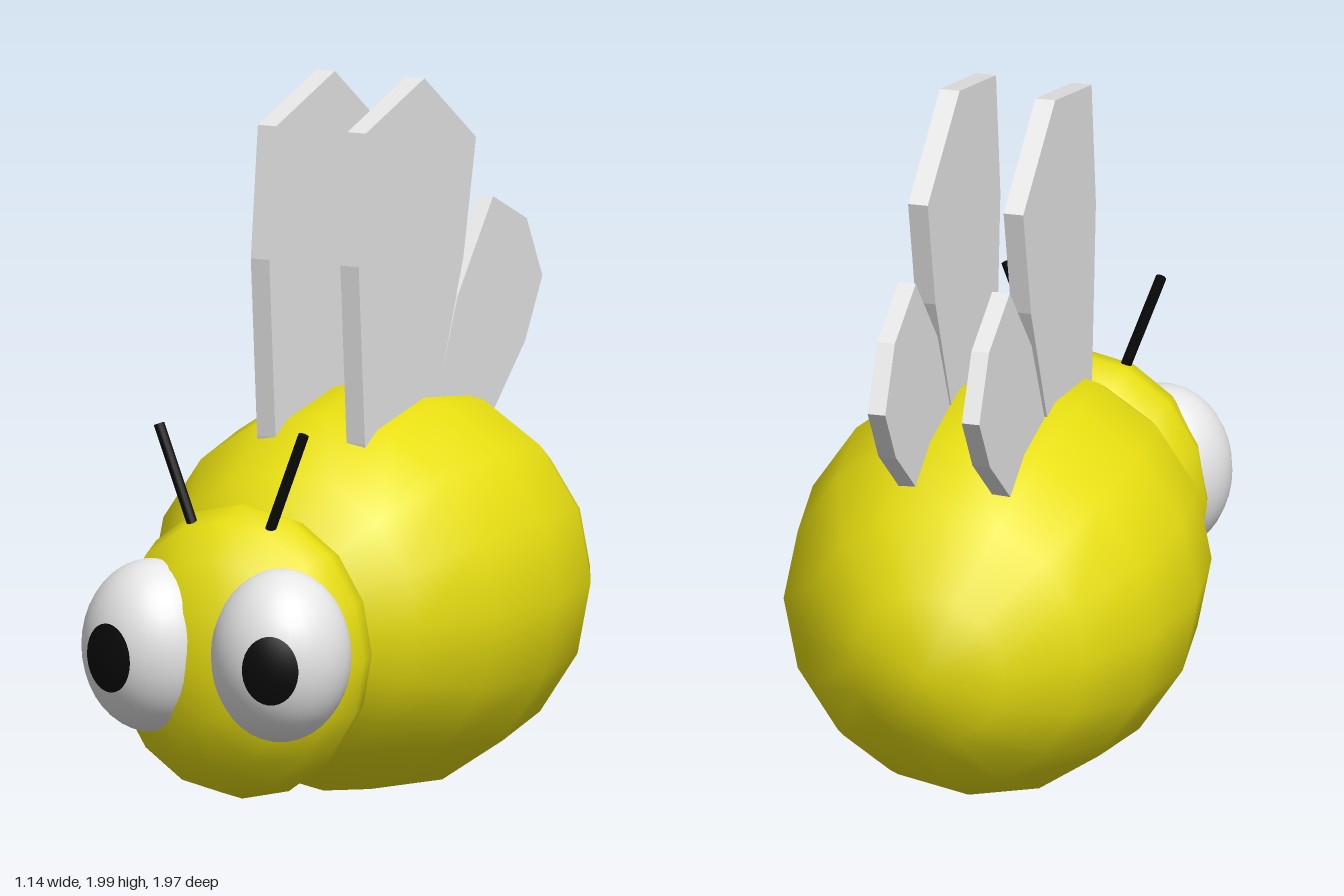
import * as THREE from 'three';

const yellow = new THREE.MeshStandardMaterial({ color: 0xe7de10 });
yellow.name = 'yellow';
const white = new THREE.MeshStandardMaterial({ color: 0xe6e6e6 });
white.name = 'paleGrey';
const black = new THREE.MeshStandardMaterial({ color: 0x0a0a0a });
black.name = 'black';

function add(parent, name, geometry, material) {
  const mesh = new THREE.Mesh(geometry, material);
  mesh.name = name;
  parent.add(mesh);
  return mesh;
}

// Coarse ellipsoid with its poles along z and smooth normals
function ellipsoid(rx, ry, rz, y, z) {
  return new THREE.SphereGeometry(1, 16, 8)
    .rotateX(Math.PI / 2).scale(rx, ry, rz).translate(0, y, z);
}

// Flat wing from [z, y] outline points, centred on x
function wing(points, x, thickness = 0.056) {
  const shape = new THREE.Shape(points.map(([z, y]) => new THREE.Vector2(-z, y)));
  return new THREE.ExtrudeGeometry(shape, { depth: thickness, bevelEnabled: false })
    .translate(0, 0, -thickness / 2).rotateY(Math.PI / 2).translate(x, 0, 0);
}

const frontWing = [[0.16, 0.92], [0.18, 1.04], [0.22, 1.54], [0.175, 1.905], [-0.2, 2],
  [-0.53, 1.785], [-0.45, 1.465], [-0.29, 1.11], [-0.2, 0.92]];
const rearWing = [[-0.3, 1.115], [-0.425, 1.36], [-0.65, 1.6], [-0.865, 1.505],
  [-0.965, 1.33], [-0.855, 1.165], [-0.66, 1.01], [-0.5, 0.88], [-0.3, 0.92]];

export function createModel() {
  const model = new THREE.Group();
  model.name = 'bee';

  add(model, 'body', ellipsoid(0.57, 0.568, 0.785, 0.575, -0.2), yellow);
  add(model, 'head', ellipsoid(0.37, 0.41, 0.285, 0.52, 0.62), yellow);

  for (const [side, s] of [['left', 1], ['right', -1]]) {
    // Eyeball with a pupil cap lying on its surface
    const eye = new THREE.Group();
    eye.name = side + 'Eye';
    eye.position.set(s * 0.195, 0.55, 0.785);
    model.add(eye);
    add(eye, side + 'Eyeball',
      new THREE.SphereGeometry(1, 32, 20).scale(0.195, 0.24, 0.195), white);
    const aim = new THREE.Quaternion().setFromUnitVectors(
      new THREE.Vector3(0, 1, 0), new THREE.Vector3(s * 0.28, -0.06, 0.958).normalize());
    add(eye, side + 'Pupil',
      new THREE.SphereGeometry(1.012, 32, 8, 0, Math.PI * 2, 0, 0.41)
        .applyQuaternion(aim).scale(0.195, 0.24, 0.195), black);

    // Antenna leaning outward, rooted in the head
    const root = new THREE.Vector3(s * 0.104, 0.84, 0.69);
    const tip = new THREE.Vector3(s * 0.22, 1.15, 0.69);
    const antenna = add(model, side + 'Antenna',
      new THREE.CylinderGeometry(0.015, 0.015, root.distanceTo(tip), 12), black);
    antenna.position.copy(root).lerp(tip, 0.5);
    antenna.quaternion.setFromUnitVectors(
      new THREE.Vector3(0, 1, 0), tip.clone().sub(root).normalize());

    add(model, side + 'FrontWing', wing(frontWing, s * 0.136), white);
    add(model, side + 'RearWing', wing(rearWing, s * 0.134, 0.05), white);
  }
  return model;
}
